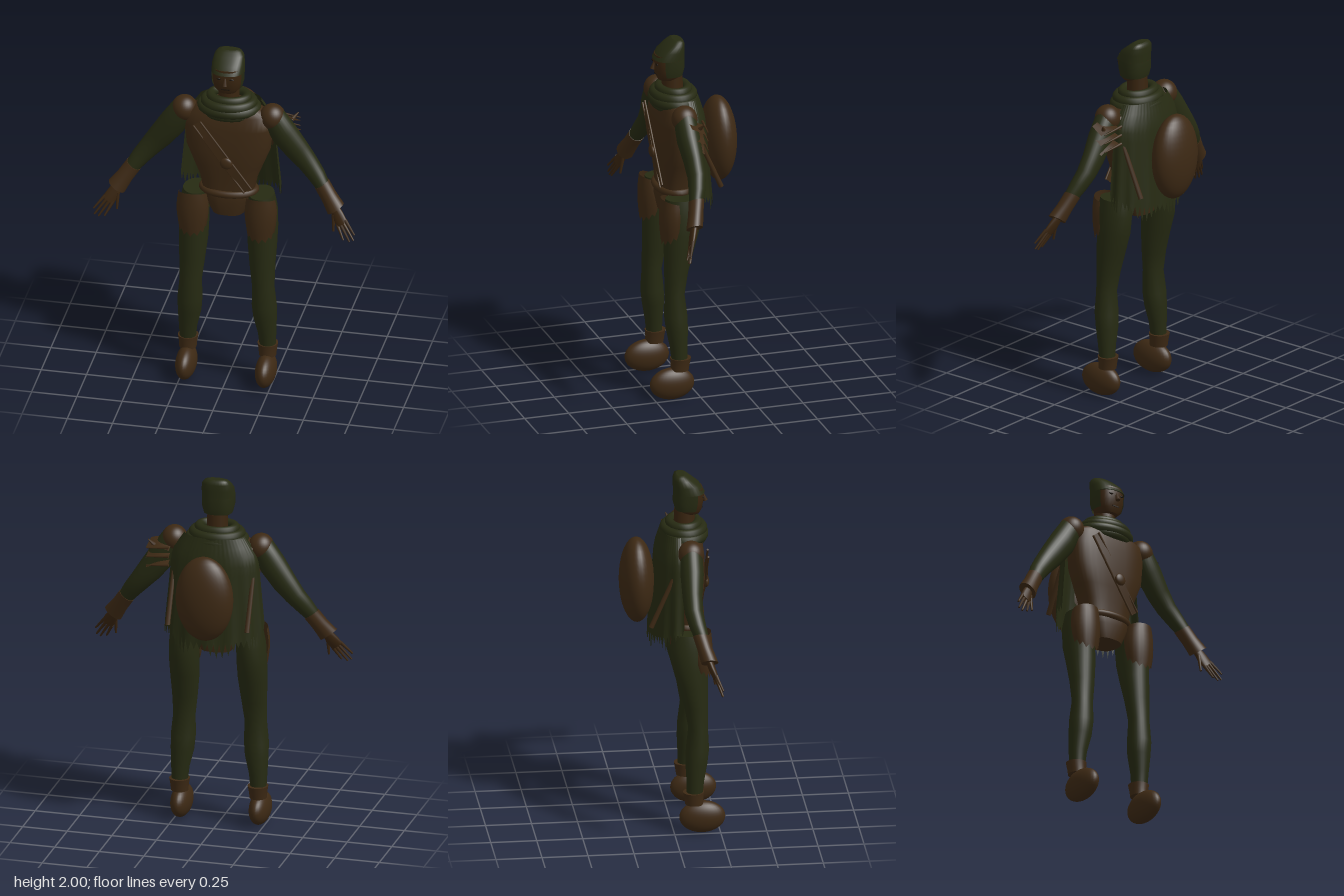
import * as THREE from 'three';

const mat = (name, color) => {
  const m = new THREE.MeshStandardMaterial({ color, side: THREE.DoubleSide });
  m.name = name;
  return m;
};

// Skin through elliptical rings [y, cx, cz, rx, rz], listed from top to bottom
function loft(rings, { p = 2, n = 28, a0 = 0, a1 = Math.PI * 2, caps = true } = {}) {
  const closed = a1 - a0 > 6.28, cols = closed ? n : n + 1;
  const pos = [], idx = [];
  const pw = (v) => Math.sign(v) * Math.abs(v) ** (2 / p);
  const addRing = ([y, cx, cz, rx, rz]) => {
    for (let i = 0; i < cols; i++) {
      const a = a0 + (a1 - a0) * i / n;
      pos.push(cx + rx * pw(Math.sin(a)), y, cz + rz * pw(Math.cos(a)));
    }
  };
  rings.forEach(addRing);
  for (let j = 0; j < rings.length - 1; j++) for (let i = 0; i < n; i++) {
    const k = (i + 1) % cols, a = j * cols, b = a + cols;
    idx.push(a + i, b + i, a + k, a + k, b + i, b + k);
  }
  if (closed && caps) [rings[0], rings[rings.length - 1]].forEach((r, end) => {
    const s = pos.length / 3;
    addRing(r);
    pos.push(r[1], r[0], r[2]);
    for (let i = 0; i < n; i++) {
      const k = (i + 1) % n;
      end ? idx.push(s + n, s + k, s + i) : idx.push(s + n, s + i, s + k);
    }
  });
  const g = new THREE.BufferGeometry();
  g.setAttribute('position', new THREE.Float32BufferAttribute(pos, 3));
  g.setIndex(idx);
  g.computeVertexNormals();
  return g;
}

// Sheet whose points follow rule(u, v, column); v is 0 at the top, 1 at the hem
function sheet(cols, rows, rule) {
  const g = new THREE.PlaneGeometry(1, 1, cols, rows), P = g.attributes.position, uv = g.attributes.uv;
  for (let i = 0; i < P.count; i++) {
    const u = uv.getX(i);
    P.setXYZ(i, ...rule(u, 1 - uv.getY(i), Math.round(u * cols)));
  }
  g.computeVertexNormals();
  return g;
}

// Tapered rod between two points
function rod(a, b, r0, r1) {
  const A = new THREE.Vector3(...a), B = new THREE.Vector3(...b), d = B.clone().sub(A);
  const g = new THREE.CylinderGeometry(r1, r0, d.length(), 8);
  g.applyQuaternion(new THREE.Quaternion().setFromUnitVectors(new THREE.Vector3(0, 1, 0), d.normalize()));
  return g.translate(...A.add(B).multiplyScalar(0.5).toArray());
}

const ellipsoid = (x, y, z, rx, ry, rz) =>
  new THREE.SphereGeometry(1, 32, 20).scale(rx, ry, rz).translate(x, y, z);

function hoop(y, cz, rx, rz, tube) {
  const pts = [];
  for (let i = 0; i < 24; i++) {
    const a = i / 24 * Math.PI * 2;
    pts.push(new THREE.Vector3(rx * Math.sin(a), y, cz + rz * Math.cos(a)));
  }
  return new THREE.TubeGeometry(new THREE.CatmullRomCurve3(pts, true), 48, tube, 10, true);
}

export function createModel() {
  const leather = mat('leather', 0x3d2914), cloth = mat('cloth', 0x262a12);
  const skin = mat('skin', 0x38240f), dark = mat('dark', 0x1a1209);
  const root = new THREE.Group();
  root.name = 'hoodedTraveller';
  const add = (parent, name, geo, material) => {
    const m = new THREE.Mesh(geo, material);
    m.name = name;
    parent.add(m);
    return m;
  };

  // Head, hood and face
  add(root, 'face', loft([
    [1.92, 0, 0.1, 0.083, 0.078], [1.88, 0, 0.103, 0.083, 0.082], [1.84, 0, 0.103, 0.082, 0.078],
    [1.8, 0, 0.105, 0.074, 0.068], [1.775, 0, 0.11, 0.05, 0.05]], { p: 2.4 }), skin);
  add(root, 'hoodCap', loft([
    [2.0, 0, 0.058, 0.045, 0.022], [1.993, 0, 0.06, 0.065, 0.036], [1.975, 0, 0.068, 0.08, 0.05],
    [1.94, 0, 0.09, 0.088, 0.072], [1.895, 0, 0.104, 0.089, 0.085]], { p: 2.4 }), cloth);
  add(root, 'hoodBack', loft([
    [1.895, 0, 0.104, 0.089, 0.085], [1.84, 0, 0.102, 0.088, 0.084], [1.8, 0, 0.1, 0.078, 0.072]],
    { p: 2.4, a0: 0.36 * Math.PI, a1: 1.64 * Math.PI }), cloth);
  add(root, 'nose', rod([0, 1.88, 0.18], [0, 1.838, 0.194], 0.006, 0.013), skin);
  add(root, 'mouth', new THREE.BoxGeometry(0.045, 0.005, 0.008).translate(0, 1.807, 0.173), dark);
  for (const s of [1, -1])
    add(root, 'eye', ellipsoid(s * 0.034, 1.873, 0.178, 0.015, 0.006, 0.006), dark);
  add(root, 'neck', new THREE.CylinderGeometry(0.055, 0.06, 0.14, 20).translate(0, 1.73, 0.08), skin);

  // Scarf coils
  for (const [y, rx, rz, t] of [[1.72, 0.1, 0.075, 0.025], [1.69, 0.128, 0.1, 0.028],
    [1.66, 0.148, 0.107, 0.028], [1.637, 0.13, 0.1, 0.025]])
    add(root, 'scarfCoil', hoop(y, 0.075, rx, rz, t), cloth);

  // Torso, belt and hips
  add(root, 'tunic', loft([
    [1.69, 0, 0.075, 0.12, 0.07], [1.63, 0, 0.08, 0.235, 0.092], [1.55, 0, 0.082, 0.243, 0.1],
    [1.42, 0, 0.082, 0.23, 0.103], [1.32, 0, 0.08, 0.19, 0.097], [1.24, 0, 0.078, 0.158, 0.09],
    [1.15, 0, 0.078, 0.14, 0.085]], { p: 2.6, n: 36 }), leather);
  add(root, 'belt', hoop(1.155, 0.078, 0.145, 0.09, 0.02), leather);
  add(root, 'hips', loft([
    [1.15, 0, 0.078, 0.14, 0.09], [1.1, 0, 0.078, 0.125, 0.095], [1.02, 0, 0.078, 0.088, 0.08]],
    { p: 2.6 }), leather);

  // Chest strap, bowed over the chest, with its clasp
  add(root, 'chestStrap', sheet(2, 10, (u, v) => [
    -0.155 + 0.28 * v + (u - 0.5) * 0.037, 1.59 - 0.39 * v + (u - 0.5) * 0.027,
    0.187 + 0.018 * Math.sin(Math.PI * v) - 0.01 * v]), leather);
  for (const e of [-1, 1])
    add(root, 'strapEdge', rod([-0.155 + e * 0.019, 1.59 + e * 0.014, 0.192],
      [0.125 + e * 0.019, 1.2 + e * 0.014, 0.184], 0.006, 0.006), leather);
  add(root, 'strapClasp', ellipsoid(0.01, 1.365, 0.2, 0.034, 0.034, 0.015), leather);

  // Ragged cape wrapped around the back
  add(root, 'cape', sheet(56, 12, (u, v, i) => {
    const a = (0.47 + 1.06 * u) * Math.PI;
    const back = Math.sin(Math.PI * u);
    const hem = 1.19 - 0.09 * back + (i % 2 ? -0.05 - 0.025 * Math.sin(i * 2.7) : 0.01);
    const f = 1 + 0.025 * v * Math.cos(a * 14);
    const spread = Math.min(1, v * 5);
    return [Math.sin(a) * (0.17 + 0.06 * spread + 0.045 * v) * f, 1.69 + (hem - 1.69) * v,
      0.035 + Math.cos(a) * (0.085 + 0.025 * spread + 0.045 * v) * f];
  }), cloth);

  // Round pack shield
  add(root, 'backShield', ellipsoid(0, 1.395, -0.18, 0.16, 0.24, 0.095), leather);

  for (const s of [1, -1]) {
    const side = new THREE.Group();
    side.name = s > 0 ? 'leftSide' : 'rightSide';
    side.scale.x = s;
    root.add(side);

    // Shoulder guard and the stick slung behind it
    add(side, 'shoulderGuard', ellipsoid(0.243, 1.625, 0.09, 0.07, 0.073, 0.07), leather);
    add(side, 'slungStick', rod([0.222, 1.53, 0.02], [0.222, 1.2, -0.125], 0.011, 0.014), leather);

    // Arm: built hanging down, then swung outwards
    const arm = new THREE.Group();
    arm.name = 'arm';
    arm.position.set(0.245, 1.63, 0);
    arm.rotation.z = 0.63;
    side.add(arm);
    add(arm, 'sleeve', loft([
      [0.05, 0, 0.09, 0.045, 0.045], [0, 0, 0.09, 0.066, 0.06], [-0.12, -0.01, 0.088, 0.076, 0.063],
      [-0.24, -0.01, 0.082, 0.069, 0.054], [-0.33, -0.005, 0.083, 0.058, 0.05],
      [-0.41, 0, 0.098, 0.05, 0.046], [-0.5, 0, 0.122, 0.038, 0.036]]), cloth);
    add(arm, 'cuff', loft([
      [-0.465, 0, 0.112, 0.046, 0.043], [-0.54, -0.002, 0.13, 0.046, 0.042],
      [-0.615, -0.004, 0.15, 0.054, 0.046]]), leather);
    add(arm, 'palm', loft([
      [-0.6, -0.006, 0.148, 0.026, 0.02], [-0.65, -0.012, 0.163, 0.035, 0.019],
      [-0.7, -0.015, 0.18, 0.036, 0.014]], { n: 16 }), skin);
    for (let i = 0; i < 4; i++)
      add(arm, 'finger', rod([0.013 - i * 0.018, -0.69, 0.178],
        [0.019 - i * 0.024, [-0.78, -0.805, -0.8, -0.775][i], 0.211], 0.01, 0.005), skin);
    add(arm, 'thumb', rod([-0.03, -0.635, 0.165], [-0.083, -0.712, 0.18], 0.011, 0.006), skin);

    // Leg and boot
    add(side, 'leg', loft([
      [1.145, 0.18, 0.085, 0.07, 0.09], [1.06, 0.187, 0.084, 0.08, 0.102], [0.95, 0.19, 0.09, 0.082, 0.096],
      [0.85, 0.19, 0.105, 0.08, 0.082], [0.72, 0.194, 0.122, 0.07, 0.064], [0.6, 0.2, 0.132, 0.061, 0.053],
      [0.48, 0.205, 0.128, 0.068, 0.063], [0.4, 0.208, 0.122, 0.064, 0.06],
      [0.3, 0.218, 0.115, 0.05, 0.048], [0.2, 0.221, 0.11, 0.042, 0.042]]), cloth);
    add(side, 'bootCuff', loft([
      [0.235, 0.22, 0.105, 0.056, 0.057], [0.2, 0.22, 0.107, 0.05, 0.052],
      [0.165, 0.22, 0.11, 0.047, 0.05]]), leather);
    add(side, 'boot', ellipsoid(0.22, 0.09, 0.153, 0.056, 0.09, 0.125), leather);

    // Ragged thigh guard curving around the front of the leg
    add(side, 'thighGuard', sheet(14, 8, (u, v, i) => {
      const a = (u - 0.5) * 1.15 * Math.PI, mid = Math.cos(a * 0.8);
      const top = 1.13 + 0.025 * mid, hem = 0.975 - 0.06 * mid - (i % 2 ? 0.025 : 0);
      const w = 0.78 + 0.22 * Math.sin(Math.PI * (0.15 + 0.75 * v));
      return [0.188 + Math.sin(a) * 0.088 * w, top + (hem - top) * v, 0.14 + Math.cos(a) * 0.072 * w];
    }), leather);
  }

  // Splintered slats over the back of the left upper arm
  for (let i = 0; i < 3; i++) {
    const slat = add(root, 'armSlat', sheet(6, 2, (u, v, c) => [
      -0.06 + 0.125 * u + (c === 6 ? 0.012 * v : 0), -0.035 * v + 0.012 * Math.sin(u * 3),
      0.035 - 0.1 * v + 0.03 * u * v]), leather);
    slat.position.set(0.31 + i * 0.005, 1.615 - i * 0.05, 0.055);
    slat.rotation.z = -0.05 - i * 0.1;
    add(root, 'slatSpike', rod([0.25, 1.6 - i * 0.05, -0.01], [0.378, 1.585 - i * 0.05, 0.0], 0.008, 0.003), leather);
  }
  add(root, 'slatTip', rod([0.34, 1.59, 0.04], [0.372, 1.628, 0.02], 0.014, 0.003), leather);

  return root;
}
